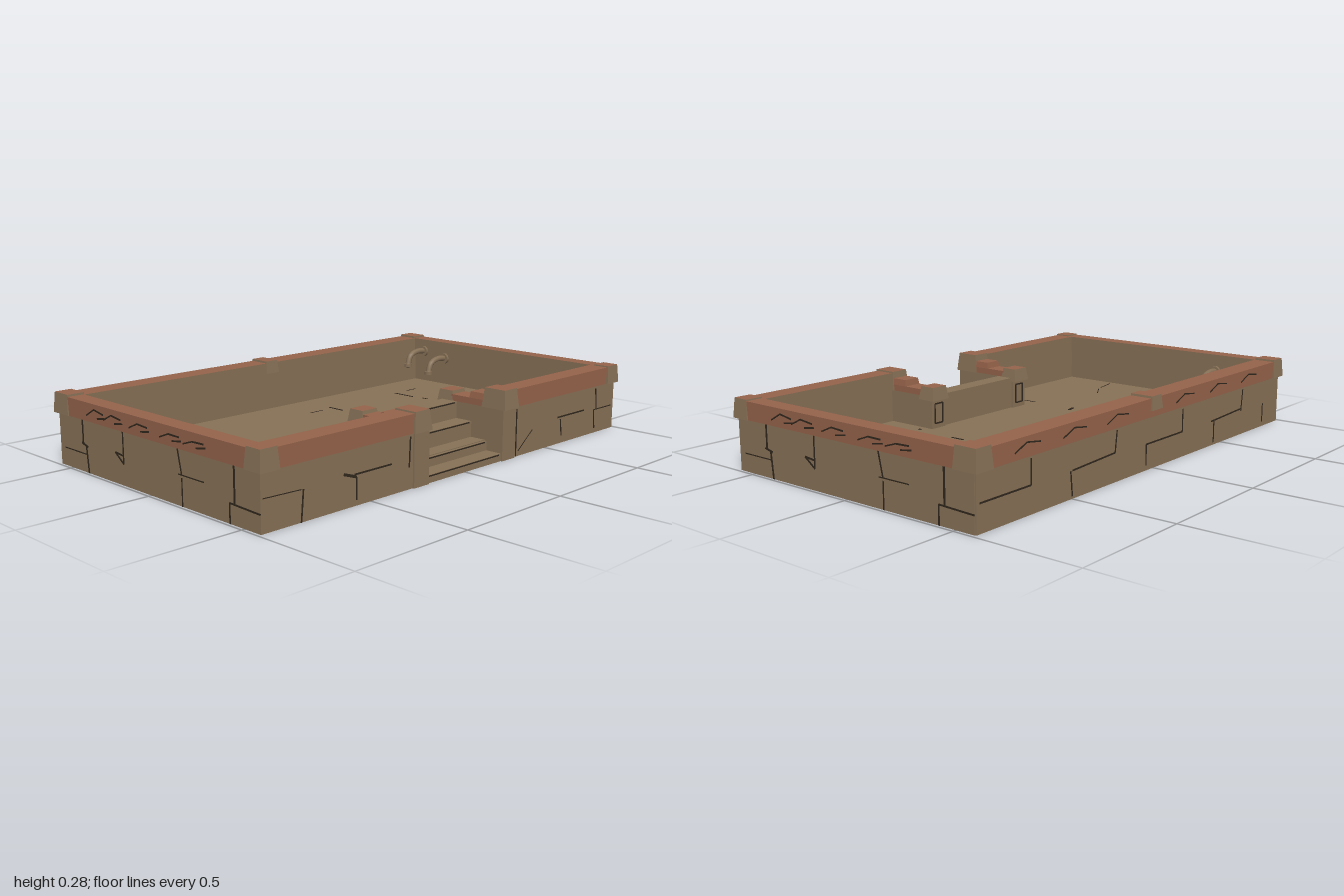
import * as THREE from 'three';

const mat = (name, color) => {
  const m = new THREE.MeshStandardMaterial({ color });
  m.name = name;
  return m;
};

export function createModel() {
  const root = new THREE.Group();
  root.name = 'stonePool';
  const stone = mat('brown stone', 0x867056);
  const clay = mat('terracotta', 0x94624a);
  const ink = mat('dark joint', 0x30271d);

  // Box given by its min and max corners; the top can be tapered
  function block(name, [x0, y0, z0], [x1, y1, z1], material, taper = 0) {
    const g = new THREE.BoxGeometry(x1 - x0, y1 - y0, z1 - z0);
    const p = g.attributes.position;
    if (taper) {
      for (let i = 0; i < p.count; i++) {
        if (p.getY(i) < 0) continue;
        p.setX(i, p.getX(i) - Math.sign(p.getX(i)) * taper);
        p.setZ(i, p.getZ(i) - Math.sign(p.getZ(i)) * taper);
      }
      g.computeVertexNormals();
    }
    const m = new THREE.Mesh(g, material);
    m.name = name;
    m.position.set((x0 + x1) / 2, (y0 + y1) / 2, (z0 + z1) / 2);
    root.add(m);
    return m;
  }
  // Terracotta block with chosen faces (px, nx, py, ny, pz, nz) left as stone
  const mixed = (stoneFaces) => [0, 1, 2, 3, 4, 5].map((i) => (stoneFaces.includes(i) ? stone : clay));
  const capMats = mixed([0, 1, 3, 4, 5]);

  // Thin dark strokes on a flat face: [u1, v1, u2, v2, width]
  function joints(name, position, rotation, list) {
    const group = new THREE.Group();
    group.name = name;
    group.position.set(...position);
    group.rotation.set(...rotation);
    for (const [a, b, c, d, w = 0.006] of list) {
      const m = new THREE.Mesh(new THREE.BoxGeometry(Math.hypot(c - a, d - b), w, 0.003), ink);
      m.name = 'joint';
      m.position.set((a + c) / 2, (b + d) / 2, 0);
      m.rotation.z = Math.atan2(d - b, c - a);
      group.add(m);
    }
    root.add(group);
  }

  // Basin floor and walls
  const F = 0.07, W = 0.2, T = 0.27;
  block('basinFloor', [-0.985, 0, -0.585], [0.985, F, 0.5], stone);
  block('backWall', [-0.985, F, -0.585], [0.985, W, -0.5], stone);
  block('backCoping', [-0.99, W, -0.592], [0.99, T, -0.5], mixed([4]));
  for (const s of [-1, 1]) {
    const span = (a, b) => (s > 0 ? [a, b] : [-b, -a]);
    const side = s > 0 ? 'left' : 'right';
    const [sx0, sx1] = span(0.93, 0.988);
    block(side + 'Wall', [sx0, 0, -0.58], [sx1, W, 0.58], stone);
    const [cx0, cx1] = span(0.925, 0.994);
    block(side + 'Coping', [cx0, W, -0.58], [cx1, T, 0.58], mixed([s > 0 ? 1 : 0]));
    const [fx0, fx1] = span(0.25, 0.985);
    block(side + 'FrontWall', [fx0, 0, 0.5], [fx1, W, 0.58], stone);
    block(side + 'FrontCoping', [fx0, W, 0.5], [fx1, T, 0.585], mixed([5]));

    // Corner caps
    const [kx0, kx1] = span(0.918, 1);
    block('frontCornerCap', [kx0, W, 0.515], [kx1, 0.275, 0.595], capMats, 0.006);
    block('backCornerCap', [kx0, W, -0.6], [kx1, 0.278, -0.5], capMats, 0.006);

    // Piers beside the steps, lower towards the water
    const [px0, px1] = span(0.212, 0.29);
    const [qx0, qx1] = span(0.207, 0.297);
    block(side + 'StepPier', [px0, 0, 0.275], [px1, W, 0.587], stone);
    block(side + 'PierCoping', [px0, W, 0.33], [px1, 0.225, 0.52], clay);
    block(side + 'PierMidCap', [px0, 0.225, 0.42], [px1, 0.25, 0.5], clay, 0.004);
    block(side + 'PierFrontCap', [qx0, W, 0.485], [qx1, 0.276, 0.597], capMats, 0.008);
    block(side + 'PierRearCap', [qx0, 0.185, 0.26], [qx1, 0.238, 0.34], capMats, 0.008);
    joints(side + 'PierPanel', [s * 0.251, 0, 0.2745], [0, Math.PI, 0], [
      [-0.022, 0.09, 0.022, 0.09], [-0.022, 0.17, 0.022, 0.17],
      [-0.022, 0.09, -0.022, 0.17], [0.022, 0.09, 0.022, 0.17]]);

    // Water spouts on the end walls
    for (const [z, y] of [[-0.44, 0.215], [-0.31, 0.195]]) {
      const path = new THREE.CatmullRomCurve3([[0.93, 0], [0.87, 0.004], [0.825, -0.012], [0.808, -0.055]]
        .map(([x, dy]) => new THREE.Vector3(s * x, y + dy, z)));
      const pipe = new THREE.Mesh(new THREE.TubeGeometry(path, 10, 0.013, 8, false), stone);
      pipe.name = 'spout';
      const flange = new THREE.Mesh(new THREE.CylinderGeometry(0.025, 0.025, 0.014, 10), stone);
      flange.name = 'spoutFlange';
      flange.position.set(s * 0.921, y, z);
      flange.rotation.z = Math.PI / 2;
      const lip = new THREE.Mesh(new THREE.CylinderGeometry(0.018, 0.018, 0.014, 10), stone);
      lip.name = 'spoutLip';
      lip.position.set(s * 0.808, y - 0.055, z);
      const mouth = new THREE.Mesh(new THREE.CylinderGeometry(0.012, 0.012, 0.002, 10), ink);
      mouth.name = 'spoutMouth';
      mouth.position.set(s * 0.808, y - 0.063, z);
      root.add(pipe, flange, lip, mouth);
    }
  }
  block('backMiddleCap', [-0.036, W + 0.025, -0.6], [0.036, 0.278, -0.495], capMats, 0.006);

  // Entrance steps
  [[0.03, 0.58], [0.067, 0.51], [0.133, 0.433], [0.2, 0.358]].forEach(([top, front], i) => {
    block('step' + (i + 1), [-0.212, 0, 0.285], [0.212, top, front], stone);
    joints('stepEdge', [0, 0, front], [0, 0, 0], [[-0.205, top - 0.004, 0.2, top - 0.004, 0.005]]);
  });

  // Masonry joints on the outer walls
  joints('frontJoints', [0, 0, 0.58], [0, 0, 0], [
    [-0.82, 0, -0.81, 0.11], [-0.82, 0.11, -0.98, 0.115, 0.003], [-0.63, 0.12, -0.57, 0.1, 0.01],
    [-0.58, 0.11, -0.4, 0.11], [-0.57, 0.1, -0.57, 0.02, 0.004], [-0.305, 0.19, -0.31, 0.08],
    [0.305, 0, 0.305, 0.19], [0.32, 0.02, 0.41, 0.09, 0.003], [0.58, 0.11, 0.77, 0.11],
    [0.6, 0.1, 0.61, 0.03], [0.85, 0.19, 0.86, 0.1], [0.84, 0.1, 0.97, 0.1, 0.004], [0.84, 0.1, 0.85, 0.02]]);
  joints('backJoints', [0, 0, -0.585], [0, Math.PI, 0], [
    [-0.97, 0.1, -0.72, 0.1], [-0.72, 0.1, -0.72, 0.19], [-0.5, 0.01, -0.51, 0.1], [-0.5, 0.1, -0.25, 0.11],
    [-0.25, 0.11, -0.24, 0.19], [-0.05, 0.02, -0.05, 0.1], [-0.05, 0.1, 0.2, 0.1], [0.2, 0.1, 0.2, 0.19],
    [0.42, 0.1, 0.66, 0.11], [0.44, 0.01, 0.44, 0.1], [0.66, 0.1, 0.67, 0.19], [0.85, 0.02, 0.85, 0.1]]);
  const sideJoints = [
    [-0.55, 0.07, -0.4, 0.07, 0.004], [-0.42, 0.2, -0.42, 0.11, 0.008], [-0.43, 0.11, -0.39, 0.1, 0.008],
    [-0.4, 0.1, -0.39, 0, 0.008], [-0.21, 0.115, -0.16, 0.08, 0.007], [-0.16, 0.2, -0.16, 0.08],
    [-0.21, 0.115, -0.16, 0.11, 0.007], [0.16, 0.2, 0.18, 0.11], [0.16, 0.11, 0.3, 0.11, 0.004],
    [0.18, 0.1, 0.18, 0, 0.005], [0.455, 0.2, 0.455, 0.07, 0.008], [0.43, 0.07, 0.58, 0.065], [0.43, 0.07, 0.43, 0]];
  // Chipped streaks along the side copings
  const streaks = [-0.33, -0.22, -0.06, 0.12, 0.25].flatMap((u, i) => [
    [u - 0.05, 0.222, u, 0.25 - 0.003 * i, 0.005], [u, 0.25 - 0.003 * i, u + 0.06, 0.24], [u + 0.02, 0.22, u + 0.07, 0.228]]);
  for (const s of [-1, 1]) {
    joints('sideJoints', [s * 0.988, 0, 0], [0, s * Math.PI / 2, 0], sideJoints);
    joints('copingStreaks', [s * 0.994, 0, 0], [0, s * Math.PI / 2, 0], streaks);
  }
  joints('backCopingStreaks', [0, 0, -0.592], [0, Math.PI, 0],
    [-0.75, -0.5, -0.25, 0.2, 0.45, 0.7].flatMap((u) => [[u - 0.06, 0.225, u, 0.25, 0.005], [u, 0.25, u + 0.07, 0.24, 0.005]]));

  // Short cracks in the floor; v is -z
  joints('floorCracks', [0, F, 0], [-Math.PI / 2, 0, 0], [
    [-0.77, 0.33, -0.76, 0.33, 0.014], [-0.77, 0.145, -0.76, 0.145, 0.012], [-0.5, 0.33, -0.49, 0.33, 0.014],
    [-0.5, 0.14, -0.5, 0.12], [-0.37, -0.07, -0.33, -0.06, 0.012], [-0.36, -0.27, -0.36, -0.33, 0.004],
    [-0.36, -0.33, -0.31, -0.33, 0.004], [0.18, 0.33, 0.18, 0.25, 0.008], [0.6, 0.33, 0.6, 0.22, 0.008],
    [0.61, 0.17, 0.61, 0.14], [0.34, -0.06, 0.34, -0.12, 0.008], [0.5, -0.07, 0.51, -0.14], [0.51, -0.07, 0.53, -0.07],
    [0.05, 0.31, 0.12, 0.31, 0.003], [0.68, 0.33, 0.74, 0.33, 0.004], [-0.9, -0.25, -0.8, -0.23, 0.003],
    [-0.77, -0.22, -0.69, -0.17, 0.003], [0.32, -0.31, 0.33, -0.31, 0.012]]);
  return root;
}
